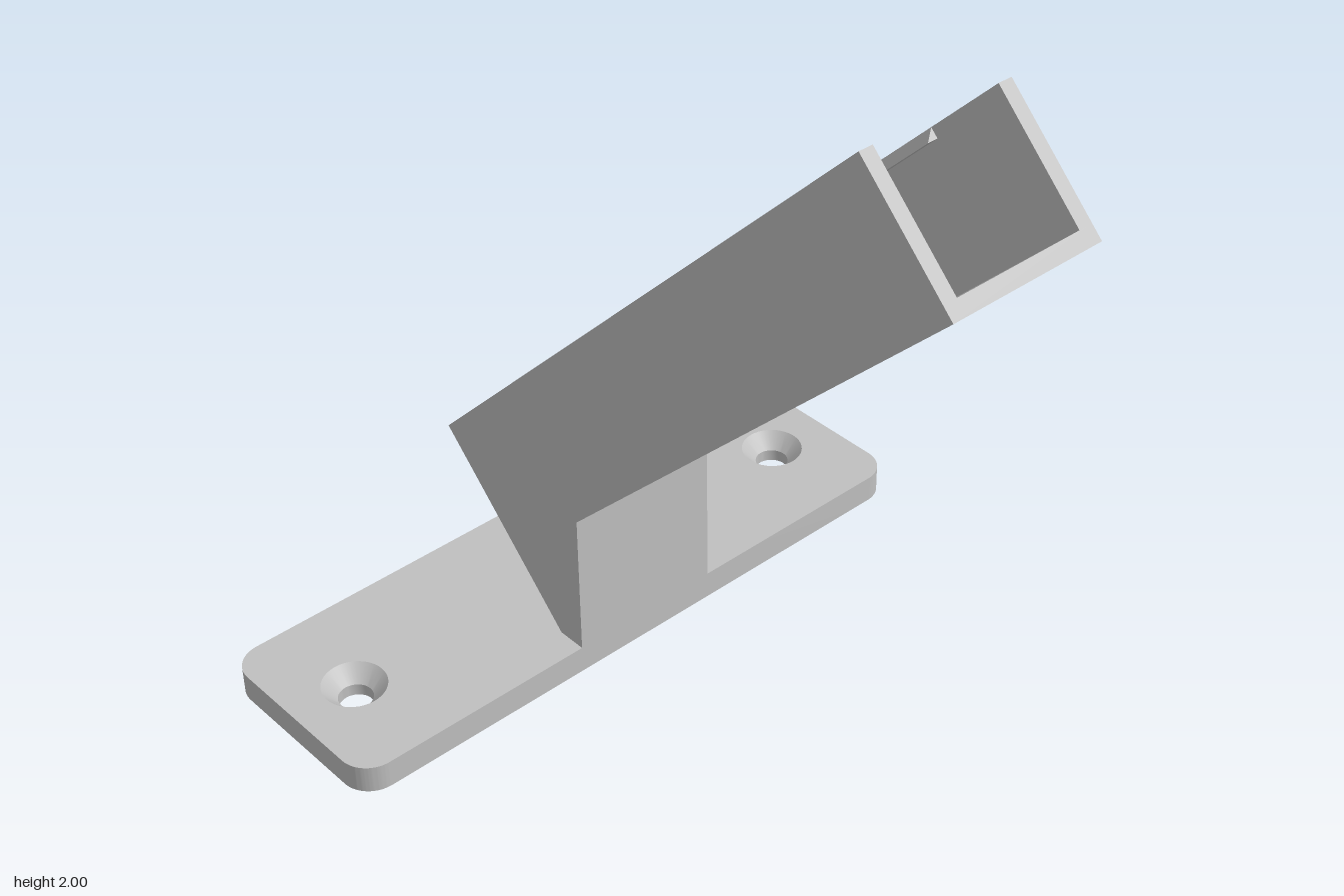
import * as THREE from 'three';
import { toCreasedNormals } from 'three/addons/utils/BufferGeometryUtils.js';

const HALF = 0.225;      // half width of the channel
const WALL = 0.04;       // side wall thickness
const PLATE_H = 0.08;
const PLATE_Z = -0.61;

export function createModel() {
  const model = new THREE.Group();
  model.name = 'angledBracket';
  const grey = new THREE.MeshStandardMaterial({ color: 0xc0c0c0 });
  grey.name = 'grey';

  const add = (name, geometry, parent = model) => {
    const mesh = new THREE.Mesh(geometry, grey);
    mesh.name = name;
    parent.add(mesh);
    return mesh;
  };

  // Side profile given as [z, y], extruded across x from x0 to x1
  const acrossX = (points, x0, x1) => {
    const shape = new THREE.Shape(points.map(([z, y]) => new THREE.Vector2(z, y)));
    const g = new THREE.ExtrudeGeometry(shape, { depth: x1 - x0, bevelEnabled: false });
    return g.rotateY(-Math.PI / 2).translate(x1, 0, 0);
  };

  // Base plate with rounded corners and two screw holes
  const w = 0.94, d = 0.295, r = 0.085, holeX = 0.75, sinkR = 0.088, boreR = 0.047;
  const plate = new THREE.Shape();
  plate.moveTo(-w + r, -d);
  plate.lineTo(w - r, -d);
  plate.absarc(w - r, -d + r, r, -Math.PI / 2, 0, false);
  plate.absarc(w - r, d - r, r, 0, Math.PI / 2, false);
  plate.absarc(-w + r, d - r, r, Math.PI / 2, Math.PI, false);
  plate.absarc(-w + r, -d + r, r, Math.PI, Math.PI * 1.5, false);
  for (const s of [-1, 1]) {
    const hole = new THREE.Path();
    hole.absarc(s * holeX, 0, sinkR, 0, Math.PI * 2, true);
    plate.holes.push(hole);
  }
  const plateGeo = new THREE.ExtrudeGeometry(plate, { depth: PLATE_H, bevelEnabled: false, curveSegments: 20 });
  plateGeo.rotateX(-Math.PI / 2).translate(0, 0, PLATE_Z);
  add('basePlate', toCreasedNormals(plateGeo, 0.5));

  // Countersunk rings lining the screw holes
  const sink = [[sinkR, PLATE_H], [boreR, 0.035], [boreR, 0], [sinkR, 0]]
    .map(([x, y]) => new THREE.Vector2(x, y));
  const sinkGeo = toCreasedNormals(new THREE.LatheGeometry(sink, 40), 0.5);
  for (const s of [-1, 1]) {
    add(s > 0 ? 'leftScrewHole' : 'rightScrewHole', sinkGeo).position.set(s * holeX, 0, PLATE_Z);
  }

  // Sloping channel floor together with the neck that meets the plate
  add('channelFloorAndNeck', acrossX([
    [0.905, 1.725], [0.875, 1.755], [-0.6, 0.28],
    [-0.4, PLATE_H], [-0.315, PLATE_H], [-0.315, 0.505],
  ], -HALF, HALF));

  // Side walls and their snap tabs
  const wallProfile = [[0.875, 1.755], [0.63, 2], [-0.845, 0.525], [-0.6, 0.28]];
  const inner = HALF - WALL;
  for (const s of [-1, 1]) {
    const side = s > 0 ? 'left' : 'right';
    add(side + 'Wall', acrossX(wallProfile, s > 0 ? inner : -HALF, s > 0 ? HALF : -inner));

    // Triangular tab: flat underneath, ramped towards the rim
    const tri = new THREE.Shape([
      new THREE.Vector2(s * inner, 0),
      new THREE.Vector2(s * inner, 0.028),
      new THREE.Vector2(s * (inner - 0.03), 0),
    ]);
    const tabGeo = new THREE.ExtrudeGeometry(tri, { depth: 0.256, bevelEnabled: false });
    tabGeo.rotateX(-Math.PI / 4);
    [0.29, -0.735].forEach((z, i) => {
      add(side + (i ? 'LowerTab' : 'UpperTab'), tabGeo).position.set(0, z + 1.33, z);
    });
  }
  return model;
}
